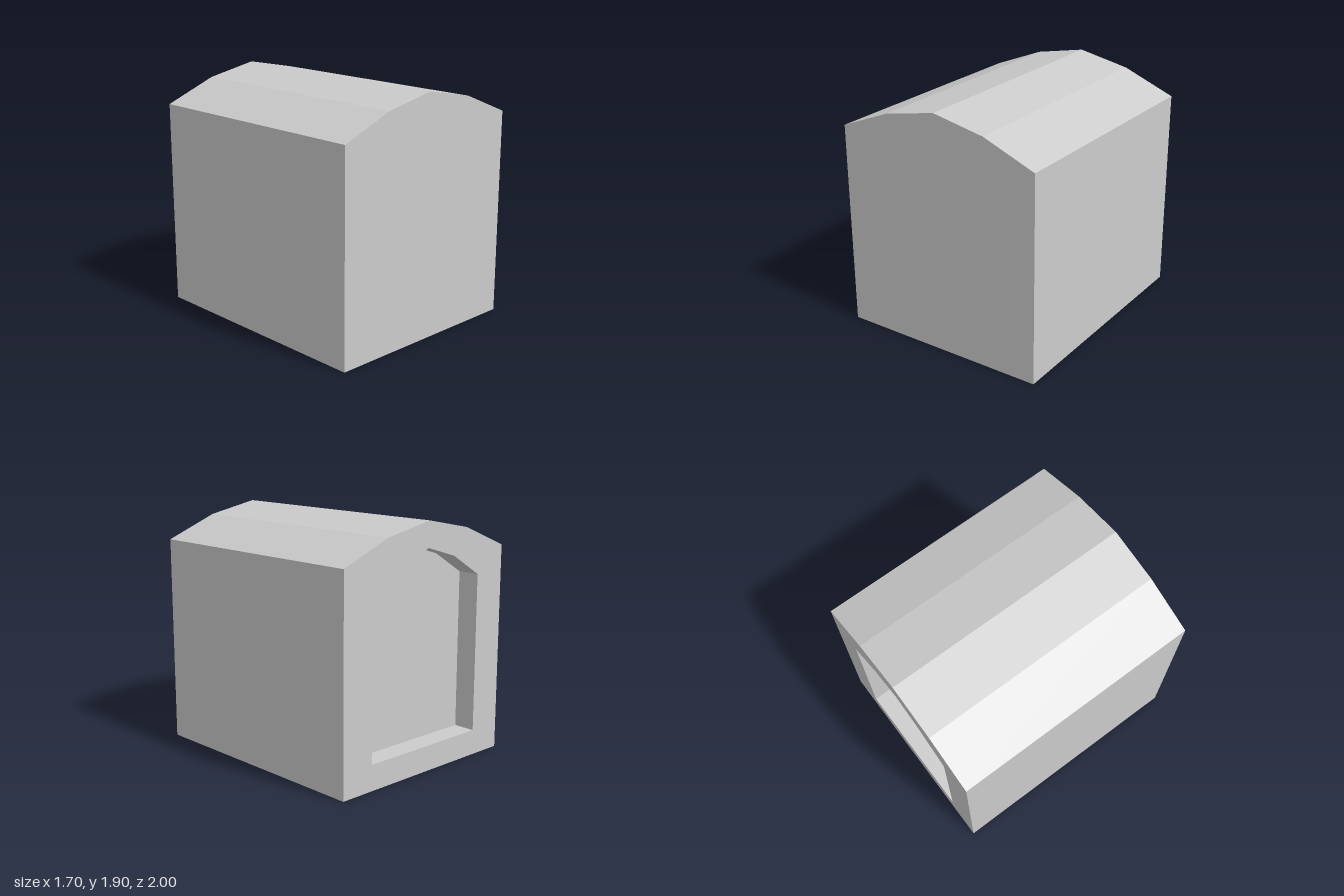
import * as THREE from 'three';

const FRONT = 1, BACK = -1, NICHE = -0.823;

// Arched outline, counter-clockwise seen from +z
function archPoints(halfWidth, bottom, spring, shoulder, crown) {
  return [
    [-halfWidth, bottom], [halfWidth, bottom], [halfWidth, spring],
    [halfWidth / 2, shoulder], [0, crown], [-halfWidth / 2, shoulder], [-halfWidth, spring],
  ].map(([x, y]) => new THREE.Vector2(x, y));
}

// Band of flat walls along an outline between two depths; inward turns them to face inside
function wallGeometry(points, zBack, zFront, inward) {
  const pos = [];
  points.forEach((a, i) => {
    const b = points[(i + 1) % points.length];
    const [p, q] = inward ? [b, a] : [a, b];
    pos.push(p.x, p.y, zFront, p.x, p.y, zBack, q.x, q.y, zBack);
    pos.push(p.x, p.y, zFront, q.x, q.y, zBack, q.x, q.y, zFront);
  });
  const g = new THREE.BufferGeometry();
  g.setAttribute('position', new THREE.Float32BufferAttribute(pos, 3));
  g.computeVertexNormals();
  return g;
}

// Flat face at depth z, facing front or back (outlines are symmetric in x)
function faceGeometry(points, z, facesBack, hole) {
  const shape = new THREE.Shape(points);
  if (hole) shape.holes.push(new THREE.Path(hole));
  const g = new THREE.ShapeGeometry(shape);
  if (facesBack) g.rotateY(Math.PI);
  return g.translate(0, 0, z);
}

export function createModel() {
  const model = new THREE.Group();
  model.name = 'archedHouse';
  const grey = new THREE.MeshStandardMaterial({ color: 0xcccccc, flatShading: true });
  grey.name = 'plain grey';

  const outer = archPoints(0.85, 0, 1.645, 1.815, 1.9);
  const inner = archPoints(0.565, 0.2, 1.445, 1.615, 1.7);

  const add = (name, geometry) => {
    const mesh = new THREE.Mesh(geometry, grey);
    mesh.name = name;
    model.add(mesh);
  };

  // Closed body: floor, side walls and faceted roof, with its front gable
  add('wallsAndRoof', wallGeometry(outer, BACK, FRONT, false));
  add('frontGable', faceGeometry(outer, FRONT, false));

  // Back gable with the shallow arched recess
  add('backGable', faceGeometry(outer, BACK, true, inner));
  add('recessSides', wallGeometry(inner, BACK, NICHE, true));
  add('recessPanel', faceGeometry(inner, NICHE, true));

  return model;
}
